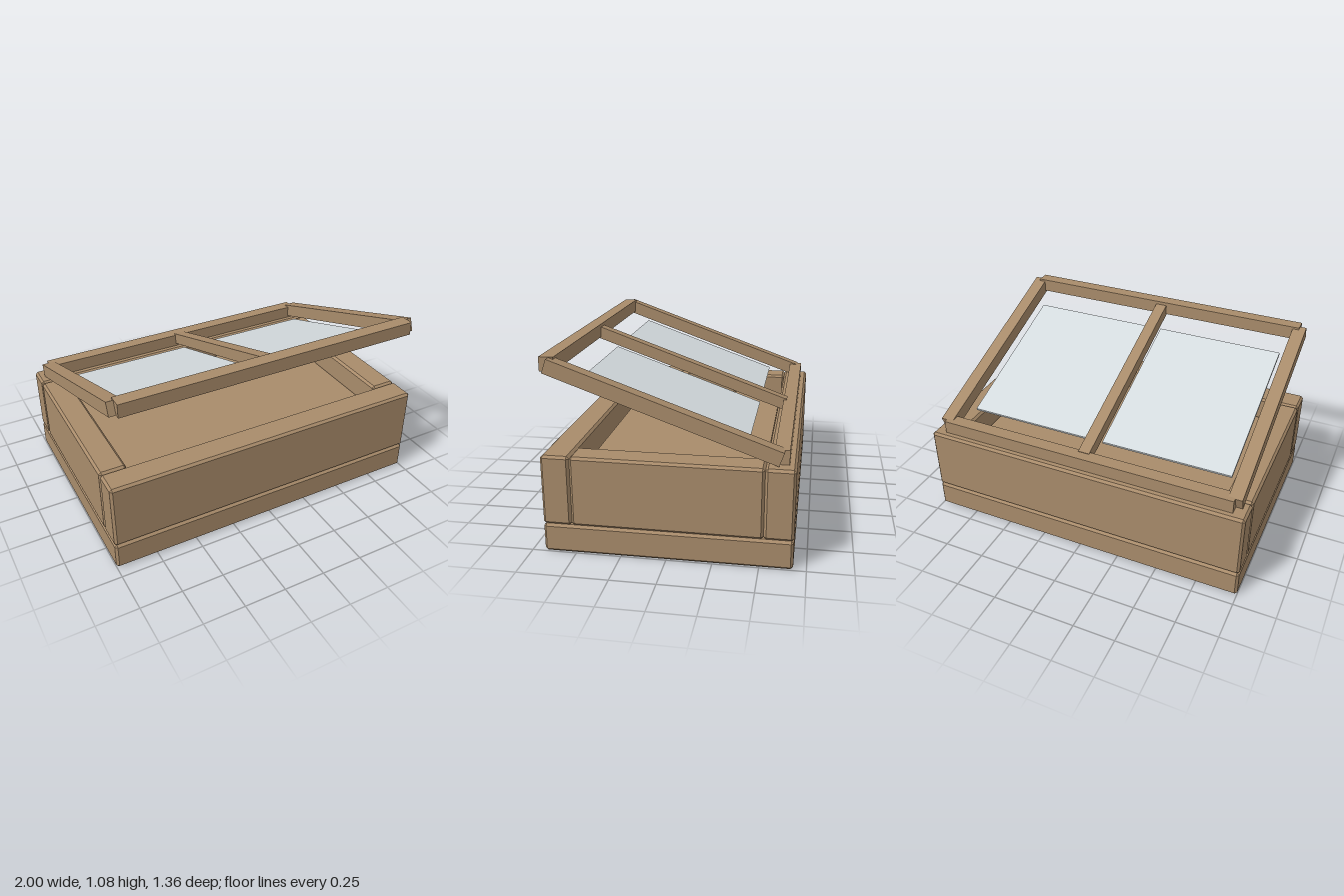
import * as THREE from 'three';
import { ConvexGeometry } from 'three/addons/geometries/ConvexGeometry.js';

// Box with flat chamfers on every edge
function chamferedBox(w, h, d, c) {
  const points = [];
  for (const sx of [-1, 1]) for (const sy of [-1, 1]) for (const sz of [-1, 1]) {
    const x = w / 2, y = h / 2, z = d / 2;
    points.push(
      new THREE.Vector3(sx * x, sy * (y - c), sz * (z - c)),
      new THREE.Vector3(sx * (x - c), sy * y, sz * (z - c)),
      new THREE.Vector3(sx * (x - c), sy * (y - c), sz * z));
  }
  return new ConvexGeometry(points);
}

export function createModel() {
  const model = new THREE.Group();
  model.name = 'coldFrame';
  const wood = new THREE.MeshStandardMaterial({ color: 0xa98c6b });
  wood.name = 'wood';
  const glass = new THREE.MeshStandardMaterial({ color: 0xd5dcdf });
  glass.name = 'glass';

  function add(parent, name, geometry, material, x, y, z) {
    const mesh = new THREE.Mesh(geometry, material);
    mesh.name = name;
    mesh.position.set(x, y, z);
    parent.add(mesh);
  }
  const box = (w, h, d) => new THREE.BoxGeometry(w, h, d);
  const bevel = 0.014;

  // Base and the four wall boards
  add(model, 'plinth', chamferedBox(2, 0.163, 1.36, bevel), wood, 0, 0.0815, 0);
  const wallH = 0.397, wallY = 0.163 + wallH / 2;
  for (const s of [1, -1]) {
    add(model, s > 0 ? 'frontWall' : 'backWall',
      chamferedBox(2, wallH, 0.16, bevel), wood, 0, wallY, s * 0.6);
    add(model, s > 0 ? 'leftWall' : 'rightWall',
      chamferedBox(0.16, wallH, 1.04, bevel), wood, s * 0.92, wallY, 0);
  }

  // Raised bed inside the walls
  add(model, 'bed', box(1.64, 0.27, 1), wood, 0, 0.295, 0);

  // Upright cross bars of the lid
  add(model, 'lidFrontBar', box(1.84, 0.08, 0.08), wood, 0, 1.04, 0.64);
  add(model, 'lidBackBar', box(1.84, 0.08, 0.08), wood, 0, 0.6, -0.6);

  // Sloping rails and panes, raised at the front
  const lid = new THREE.Group();
  lid.name = 'lid';
  lid.position.set(0, 0.82, 0.02);
  lid.rotation.x = -Math.atan2(0.44, 1.24);
  model.add(lid);
  for (const s of [1, -1]) {
    const side = s > 0 ? 'left' : 'right';
    add(lid, side + 'Rail', box(0.08, 0.08, 1.316), wood, s * 0.92, 0, 0);
    add(lid, side + 'Pane', box(0.8, 0.016, 0.962), glass, s * 0.44, -0.05, 0.005);
  }
  add(lid, 'middleRail', box(0.07, 0.07, 1.25), wood, 0, 0, 0);

  return model;
}
